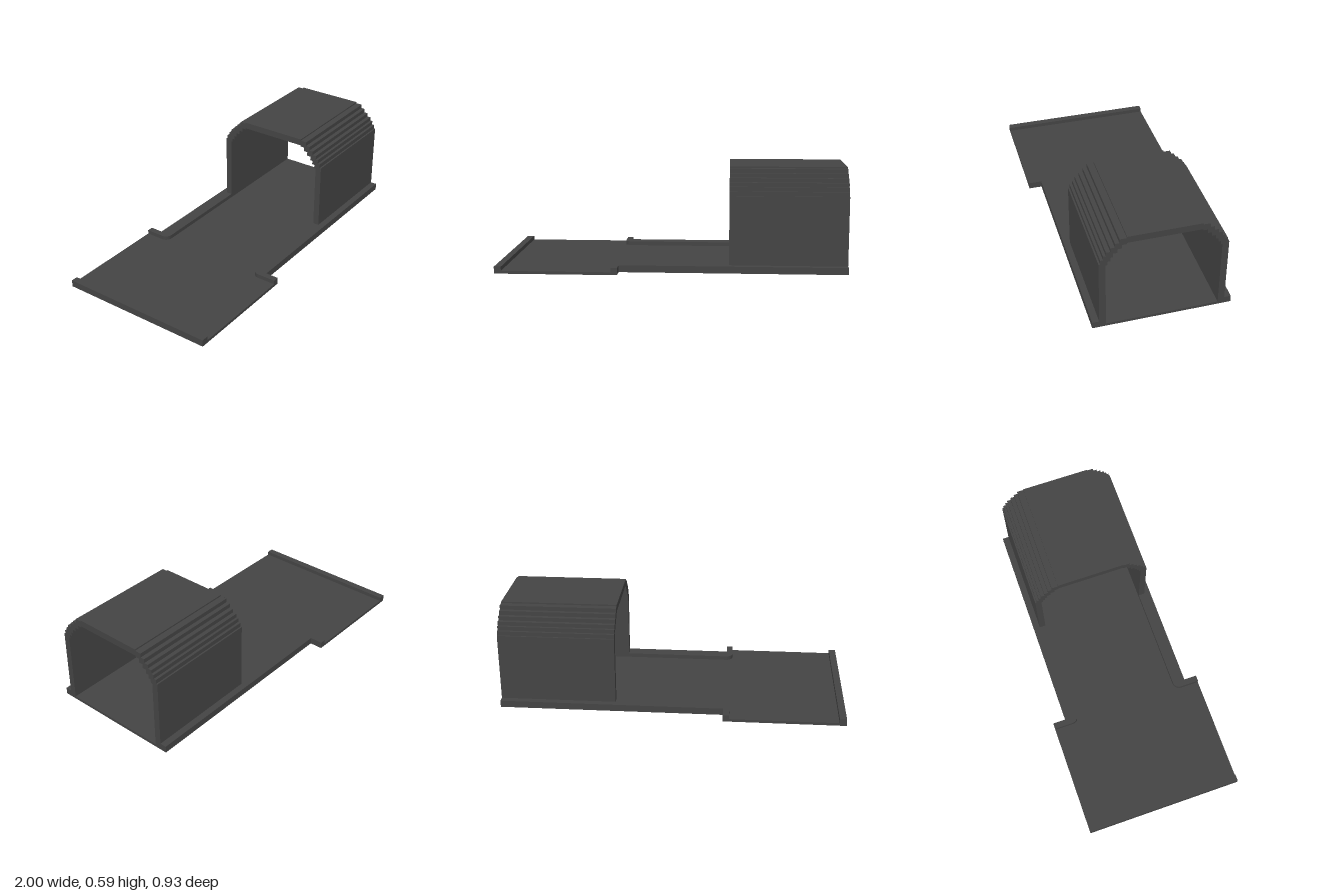
import * as THREE from 'three';

const FLOOR = 0.016, CURB = 0.04;

export function createModel() {
  const model = new THREE.Group();
  const charcoal = new THREE.MeshStandardMaterial({ color: 0x444444 });
  charcoal.name = 'charcoal';

  const add = (name, geometry) => {
    const mesh = new THREE.Mesh(geometry, charcoal);
    mesh.name = name;
    model.add(mesh);
    return mesh;
  };
  const extrude = (shape, depth) =>
    new THREE.ExtrudeGeometry(shape, { depth, bevelEnabled: false, curveSegments: 8 });
  const toShape = (pts) => new THREE.Shape(pts.map(([x, y]) => new THREE.Vector2(x, y)));
  // Horizontal slab from a plan outline, between two heights
  const slab = (shape, y0, y1) => extrude(shape, y1 - y0).rotateX(-Math.PI / 2).translate(0, y0, 0);

  // Thin floor, wide at one end and narrower under the arch
  const plan = [[-1, 0.467], [-0.3, 0.467], [-0.3, 0.39], [1, 0.39]];
  const mirroredPlan = plan.map(([x, z]) => [x, -z]).reverse();
  add('floor', slab(toShape([...plan, ...mirroredPlan]), 0, FLOOR));

  // Raised lip across the wide end
  add('endLip', new THREE.BoxGeometry(0.04, CURB - FLOOR, 0.934))
    .position.set(-0.98, (CURB + FLOOR) / 2, 0);

  // Side curbs, turning outward with a rounded corner
  for (const s of [1, -1]) {
    const curb = new THREE.Shape();
    curb.moveTo(1, s * 0.39);
    curb.lineTo(-0.3, s * 0.39);
    curb.lineTo(-0.3, s * 0.467);
    curb.lineTo(-0.336, s * 0.467);
    curb.lineTo(-0.336, s * 0.355);
    curb.absarc(-0.296, s * 0.355, 0.04, Math.PI, Math.PI + s * Math.PI / 2, s < 0);
    curb.lineTo(1, s * 0.315);
    add(s > 0 ? 'rightCurb' : 'leftCurb', slab(curb, FLOOR, CURB));
  }

  // Arch section: [half width, height at the top of that step], from wall to crown
  const outerSteps = [[0.352, 0.437], [0.343, 0.462], [0.328, 0.486], [0.313, 0.509],
    [0.29, 0.532], [0.266, 0.556], [0.242, 0.58], [0.203, 0.588]];
  const innerSteps = [[0.315, 0.425], [0.305, 0.447], [0.29, 0.47], [0.275, 0.494],
    [0.252, 0.518], [0.228, 0.541], [0.203, 0.549]];
  const stair = (steps) => {
    const pts = [];
    let y = CURB;
    for (const [z, top] of steps) {
      pts.push([z, y], [z, top]);
      y = top;
    }
    return pts;
  };
  const flip = (pts) => pts.map(([z, y]) => [-z, y]).reverse();
  const outer = stair(outerSteps), inner = stair(innerSteps);
  const section = [...outer, ...flip(outer), ...flip(flip(inner).reverse()).map(([z, y]) => [-z, y]), ...flip(inner).reverse()];
  // Walk the outside from +z to -z, then return along the inside
  section.length = outer.length * 2;
  section.push(...flip(inner).reverse(), ...inner.slice().reverse());
  add('steppedArch', extrude(toShape(section), 0.673).rotateY(Math.PI / 2).translate(0.327, 0, 0));

  return model;
}
